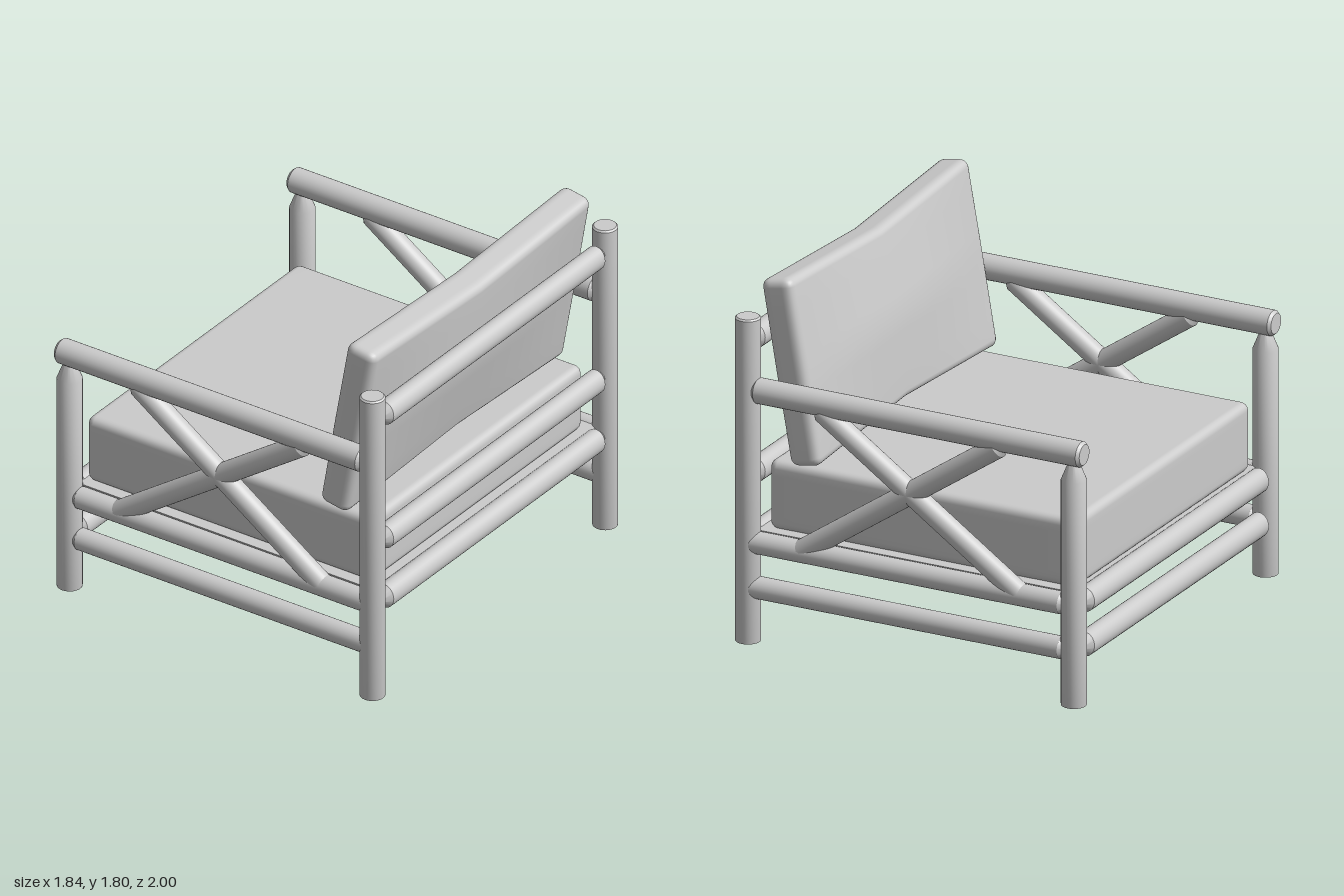
import * as THREE from 'three';
import { toCreasedNormals, mergeVertices } from 'three/addons/utils/BufferGeometryUtils.js';

const material = new THREE.MeshStandardMaterial({ color: 0xcccccc });

// Round pole from a to b; each end is [end radius, length of its taper]
function pole(name, a, b, r, startEnd, stopEnd) {
  const from = new THREE.Vector3(...a), to = new THREE.Vector3(...b);
  const dir = to.clone().sub(from), len = dir.length();
  const profile = [
    [0, 0], [startEnd[0], 0], [r, startEnd[1]],
    [r, len - stopEnd[1]], [stopEnd[0], len], [0, len],
  ].map(([x, y]) => new THREE.Vector2(x, y));
  const mesh = new THREE.Mesh(toCreasedNormals(new THREE.LatheGeometry(profile, 28), 0.5), material);
  mesh.name = name;
  mesh.position.copy(from);
  mesh.quaternion.setFromUnitVectors(new THREE.Vector3(0, 1, 0), dir.normalize());
  return mesh;
}

// Box with rounded edges; a rule may then reshape it. Three rows of faces cover each rounded edge.
function cushion(name, size, r, reshape) {
  const N = 14, E = 3;
  let geo = new THREE.BoxGeometry(1, 1, 1, N, N, N);
  geo.deleteAttribute('normal');
  geo.deleteAttribute('uv');
  geo = mergeVertices(geo);
  const pos = geo.attributes.position, p = new THREE.Vector3(), core = new THREE.Vector3();
  const spread = (t, s) => {
    const i = Math.round((t + 0.5) * N), h = s / 2;
    if (i <= E) return -h + (r * i) / E;
    if (i >= N - E) return h - (r * (N - i)) / E;
    return -h + r + ((s - 2 * r) * (i - E)) / (N - 2 * E);
  };
  const inner = new THREE.Vector3(...size).multiplyScalar(0.5).subScalar(r);
  const low = inner.clone().negate();
  for (let i = 0; i < pos.count; i++) {
    p.fromBufferAttribute(pos, i);
    p.set(spread(p.x, size[0]), spread(p.y, size[1]), spread(p.z, size[2]));
    core.copy(p).clamp(low, inner);
    p.sub(core).setLength(r).add(core);
    if (reshape) reshape(p);
    pos.setXYZ(i, p.x, p.y, p.z);
  }
  geo.computeVertexNormals();
  const mesh = new THREE.Mesh(geo, material);
  mesh.name = name;
  return mesh;
}

export function createModel() {
  const chair = new THREE.Group();
  chair.name = 'armchair';
  const flat = [0.053, 0.008], butt = [0.05, 0.005], taper = [0.03, 0.035];

  for (const s of [1, -1]) {
    const z = 0.938 * s;
    const side = new THREE.Group();
    side.name = s > 0 ? 'leftSideFrame' : 'rightSideFrame';
    side.add(
      pole('frontPost', [-0.857, 0, z], [-0.857, 1.21, z], 0.061, [0.06, 0.005], [0.025, 0.09]),
      pole('backPost', [0.857, 0, z], [0.857, 1.615, z], 0.061, [0.06, 0.005], flat),
      pole('armRail', [-0.912, 1.253, z], [0.835, 1.253, z], 0.062, [0.05, 0.015], taper),
      pole('braceFalling', [-0.49, 1.23, z], [0.585, 0.49, z], 0.053, taper, butt),
      pole('braceRising', [-0.585, 0.49, z], [0.49, 1.23, z], 0.053, butt, taper),
    );
    for (const y of [0.271, 0.494])
      side.add(pole('sideRail', [-0.83, y, z], [0.85, y, z], 0.054, taper, butt));
    chair.add(side);
  }

  // Cross rails, slightly narrower than tall
  const crossRail = (name, x, y) => {
    const rail = pole(name, [x, y, -0.888], [x, y, 0.888], 0.061, taper, taper);
    rail.scale.x = 0.87;
    chair.add(rail);
  };
  for (const y of [0.273, 0.494]) crossRail('frontRail', -0.867, y);
  for (const y of [0.494, 0.815, 1.483]) crossRail('backRail', 0.865, y);

  // Platform between the seat rails
  const platform = new THREE.Mesh(new THREE.BoxGeometry(1.68, 0.085, 1.8), material);
  platform.name = 'seatPlatform';
  platform.position.y = 0.4975;
  chair.add(platform);

  const seat = cushion('seatCushion', [1.62, 0.345, 1.71], 0.04);
  seat.position.set(-0.015, 0.707, 0);
  chair.add(seat);

  // Back cushion: thicker in the middle, upper and lower edges pinched at the centre
  const H = 0.922, W = 1.768, T = 0.163;
  const back = cushion('backCushion', [T, H, W], 0.042, (p) => {
    const v = Math.abs(p.y) / (H / 2), w = Math.abs(p.z) / (W / 2);
    p.x *= 1 + 0.47 * (1 - v) * (1 - w * w);
    p.y *= 1 - 0.1 * (1 - w);
  });
  back.position.set(0.669, 1.34, 0);
  back.rotation.z = -0.174;
  chair.add(back);

  return chair;
}
